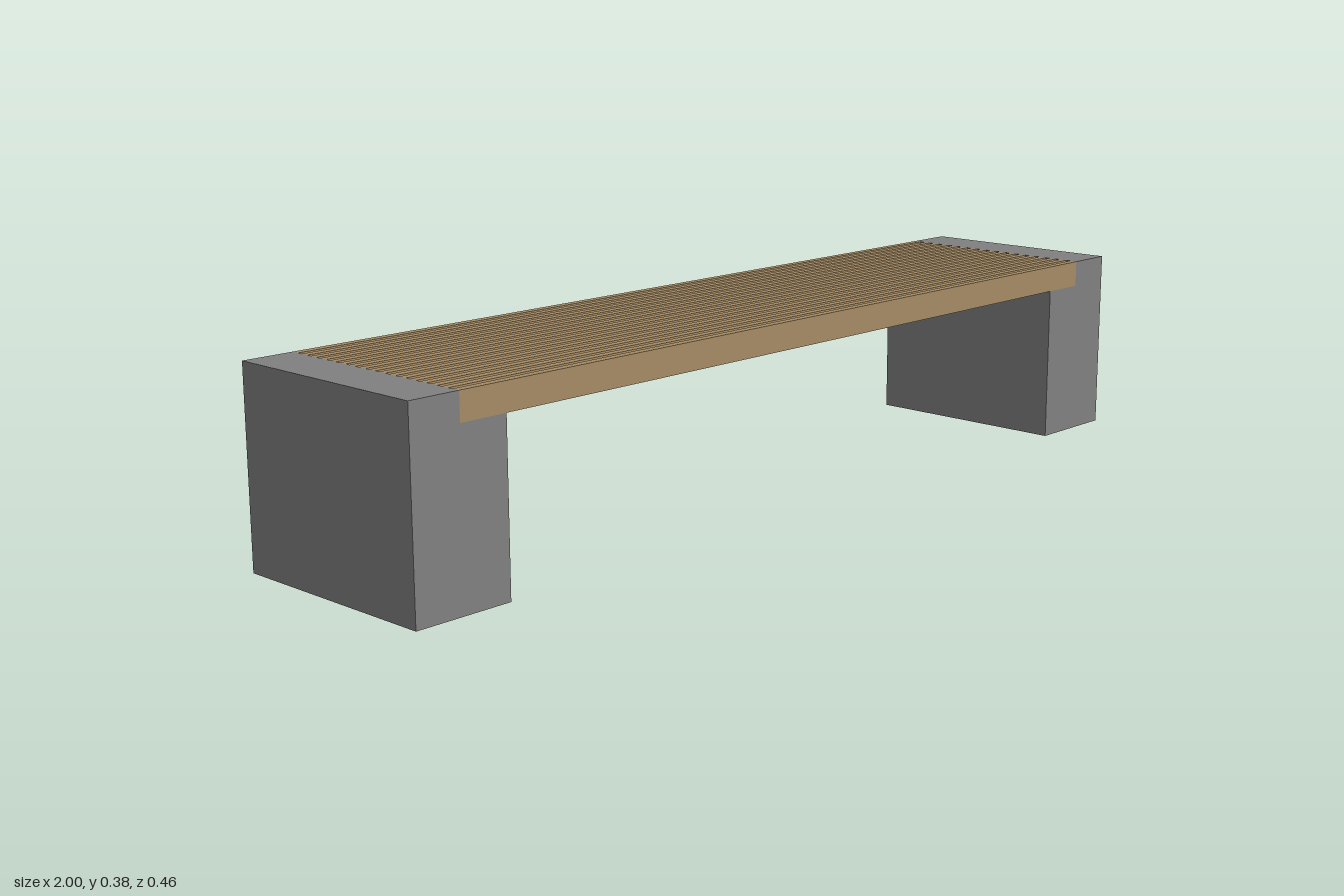
import * as THREE from 'three';

const DEPTH = 0.456, HEIGHT = 0.385, SEAT_BOTTOM = 0.33;
const INNER = 0.795, SLAT_END = 0.895;

export function createModel() {
  const concrete = new THREE.MeshStandardMaterial({ color: 0x808080 });
  concrete.name = 'concrete';
  const wood = new THREE.MeshStandardMaterial({ color: 0xa58b65 });
  wood.name = 'wood';

  const bench = new THREE.Group();
  bench.name = 'slattedBench';

  // End blocks with a rebate that carries the slats
  const profile = new THREE.Shape([
    [INNER, 0], [1, 0], [1, HEIGHT], [SLAT_END, HEIGHT],
    [SLAT_END, SEAT_BOTTOM], [INNER, SEAT_BOTTOM],
  ].map(([x, y]) => new THREE.Vector2(x, y)));
  const blockGeometry = new THREE.ExtrudeGeometry(profile, { depth: DEPTH, bevelEnabled: false });
  blockGeometry.translate(0, 0, -DEPTH / 2);
  for (const side of ['left', 'right']) {
    const block = new THREE.Mesh(blockGeometry, concrete);
    block.name = side + 'SupportBlock';
    if (side === 'right') block.rotation.y = Math.PI;
    bench.add(block);
  }

  // Evenly spaced seat slats, flush with the block tops and faces
  const count = 17, thickness = 0.0165;
  const pitch = (DEPTH - thickness) / (count - 1);
  const slatGeometry = new THREE.BoxGeometry(SLAT_END * 2, HEIGHT - SEAT_BOTTOM, thickness);
  const slats = new THREE.Group();
  slats.name = 'seatSlats';
  for (let i = 0; i < count; i++) {
    const slat = new THREE.Mesh(slatGeometry, wood);
    slat.name = 'slat' + (i + 1);
    slat.position.set(0, (HEIGHT + SEAT_BOTTOM) / 2, (i - (count - 1) / 2) * pitch);
    slats.add(slat);
  }
  bench.add(slats);
  return bench;
}
